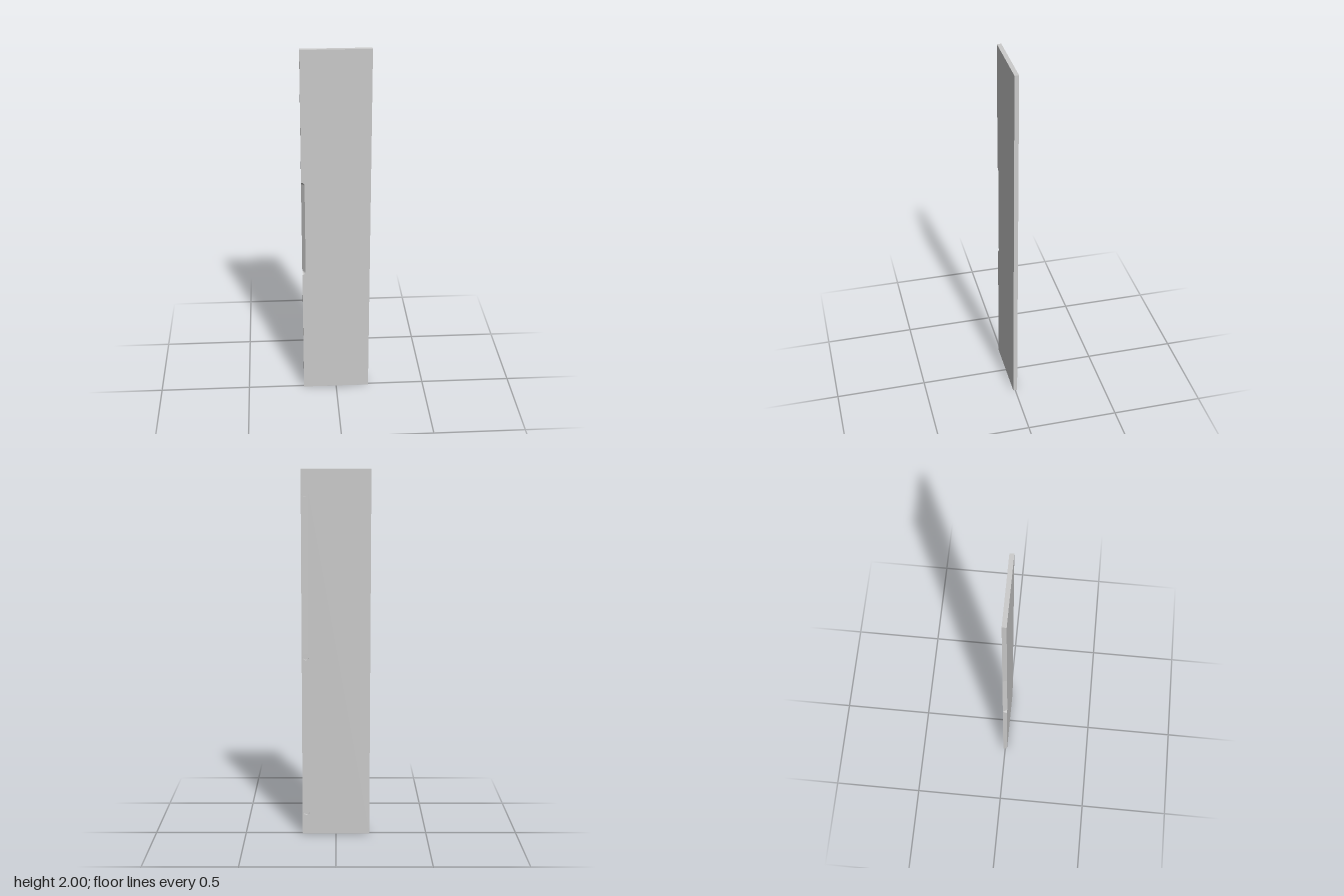
import * as THREE from 'three';

const W = 0.185, H = 2, T = 0.0115;            // half width, height, half thickness
const BEVEL = 0.018, GRIP_LOW = 0.748, GRIP_HIGH = 1.262;
const CUP_R = 0.0175, CUP_DEPTH = 0.0145, CUP_X = 0.163, CUP_YS = [0.125, 1, 1.875];
const SEG = 8;

// Outline pairs: the front edge is cut back at the grip, the back edge stays straight
function outlines() {
  const front = [], back = [];
  const add = (x, y, bx = x, by = y) => {
    front.push(new THREE.Vector2(x, y));
    back.push(new THREE.Vector2(bx, by));
  };
  add(-W, 0); add(W, 0); add(W, H); add(-W, H);
  for (const [y, start] of [[GRIP_HIGH, Math.PI / 2], [GRIP_LOW, 0]]) {
    for (let i = 0; i <= SEG; i++) {
      const a = start - (i / SEG) * Math.PI / 2;
      add(-W + BEVEL * Math.cos(a), y + BEVEL * Math.sin(a), -W, y);
    }
  }
  return { front, back };
}

// Edge band joining the front outline to the back outline
function edgeGeometry({ front, back }) {
  const pos = [];
  front.forEach((fa, i) => {
    const j = (i + 1) % front.length, fb = front[j], ba = back[i], bb = back[j];
    const tri = (...pts) => pts.forEach(([p, z]) => pos.push(p.x, p.y, z));
    if (!ba.equals(bb)) tri([fa, T], [ba, -T], [bb, -T]);
    tri([fa, T], [bb, -T], [fb, T]);
  });
  const geo = new THREE.BufferGeometry();
  geo.setAttribute('position', new THREE.Float32BufferAttribute(pos, 3));
  geo.computeVertexNormals();
  return geo;
}

export function createModel() {
  const model = new THREE.Group();
  model.name = 'cabinetDoor';
  const grey = new THREE.MeshStandardMaterial({ color: 0xcccccc });
  const inner = new THREE.MeshStandardMaterial({ color: 0xcccccc, side: THREE.BackSide });
  const add = (name, geo, mat = grey, parent = model) => {
    const mesh = new THREE.Mesh(geo, mat);
    mesh.name = name;
    parent.add(mesh);
    return mesh;
  };

  // Front face and edges with the bevelled finger grip
  const lines = outlines();
  add('frontFace', new THREE.ShapeGeometry(new THREE.Shape(lines.front)).translate(0, 0, T));
  add('edgesAndGrip', edgeGeometry(lines));

  // Back face, drawn mirrored and then turned round, with three hinge holes
  const backShape = new THREE.Shape(
    [[-W, 0], [W, 0], [W, H], [-W, H]].map(([x, y]) => new THREE.Vector2(x, y)));
  for (const y of CUP_YS) {
    backShape.holes.push(new THREE.Path().absarc(-CUP_X, y, CUP_R, 0, Math.PI * 2, true));
  }
  add('backFace', new THREE.ShapeGeometry(backShape, 16).rotateY(Math.PI).translate(0, 0, -T));

  // Blind hinge cups
  for (const y of CUP_YS) {
    const cup = new THREE.Group();
    cup.name = 'hingeCup';
    cup.position.set(CUP_X, y, -T);
    add('cupWall', new THREE.CylinderGeometry(CUP_R, CUP_R, CUP_DEPTH, 32, 1, true)
      .rotateX(Math.PI / 2).translate(0, 0, CUP_DEPTH / 2), inner, cup);
    add('cupFloor', new THREE.CircleGeometry(CUP_R, 32)
      .rotateY(Math.PI).translate(0, 0, CUP_DEPTH), grey, cup);
    model.add(cup);
  }
  return model;
}
